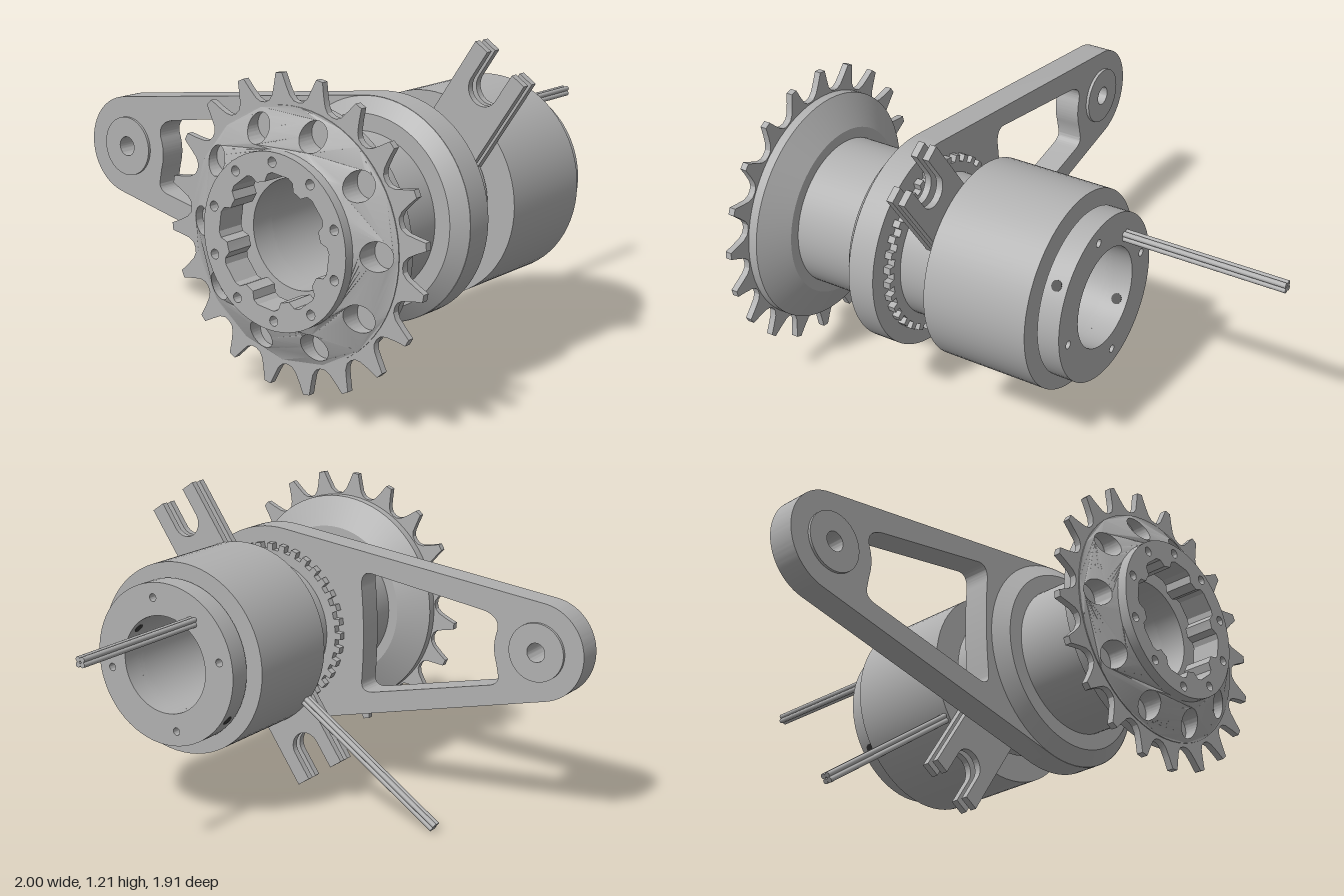
import * as THREE from 'three';
import { toCreasedNormals } from 'three/addons/utils/BufferGeometryUtils.js';

const metal = new THREE.MeshStandardMaterial({ color: 0xb0b0b0 });
metal.name = 'grey metal';
const dark = new THREE.MeshStandardMaterial({ color: 0x3a3a3a });
dark.name = 'dark hole';

const RAD = Math.PI / 180;
const BORE = 0.19;

export function createModel() {
  const root = new THREE.Group();
  root.name = 'driveAssembly';
  root.position.set(0, 0.633, 0.418);

  const add = (name, geo, mat = metal) => {
    const mesh = new THREE.Mesh(geo, mat);
    mesh.name = name;
    root.add(mesh);
    return mesh;
  };
  // Ring turned about the x axis from a closed loop of [x, radius]
  const turned = (name, loop) => {
    const pts = [...loop, loop[0]].map(([x, r]) => new THREE.Vector2(r, x));
    const geo = new THREE.LatheGeometry(pts, 72).rotateZ(-Math.PI / 2);
    return add(name, toCreasedNormals(geo, 0.4));
  };
  const ring = (name, x0, x1, r, inner = BORE) =>
    turned(name, [[x0, inner], [x0, r], [x1, r], [x1, inner]]);
  // Plate profile (right = back, up = up) extruded along x
  const plateGeo = (shape, x0, x1) =>
    new THREE.ExtrudeGeometry(shape, { depth: x1 - x0, bevelEnabled: false, curveSegments: 32 })
      .translate(0, 0, x0);
  const plate = (name, shape, x0, x1) =>
    add(name, toCreasedNormals(plateGeo(shape, x0, x1).rotateY(Math.PI / 2), 0.4));
  const polar = (r, deg) => new THREE.Vector2(r * Math.cos(deg * RAD), r * Math.sin(deg * RAD));
  const circle = (Type, r, x = 0, y = 0) => new Type().absarc(x, y, r, 0, Math.PI * 2, false);
  const drill = (shape, count, r, pitch, phase) => {
    for (let i = 0; i < count; i++) {
      const p = polar(pitch, phase + (i * 360) / count);
      shape.holes.push(circle(THREE.Path, r, p.x, p.y));
    }
    return shape;
  };
  // Repeats a few [radius, degrees] points of one tooth around a circle
  const toothed = (Type, count, tooth, phase = 0) => {
    const pts = [];
    for (let i = 0; i < count; i++)
      for (const [r, a] of tooth) pts.push(polar(r, phase + a + (i * 360) / count));
    return new Type(pts);
  };

  // Sprocket teeth
  const teeth = toothed(THREE.Shape, 20, [
    [0.448, -9], [0.452, -6.6], [0.468, -4.6], [0.502, -3], [0.54, -1.6],
    [0.54, 1.2], [0.502, 2.7], [0.468, 4.6], [0.452, 6.6],
  ], 84.6);
  teeth.holes.push(circle(THREE.Path, 0.28));
  plate('sprocketTeeth', drill(teeth, 10, 0.05, 0.37, 0), -0.9, -0.875);

  // Sprocket cone: a drilled disc whose outer face is pushed into a cone
  const disc = circle(THREE.Shape, 0.435);
  disc.holes.push(circle(THREE.Path, 0.298));
  const cone = plateGeo(drill(disc, 10, 0.05, 0.37, 0), 0, 1);
  const pos = cone.attributes.position;
  for (let i = 0; i < pos.count; i++) {
    const r = Math.hypot(pos.getX(i), pos.getY(i));
    pos.setZ(i, pos.getZ(i) > 0.5 ? -0.898 : -0.965 + ((r - 0.298) / 0.137) * 0.062);
  }
  add('sprocketCone', toCreasedNormals(cone.rotateY(Math.PI / 2), 0.4));

  // Hub end with lobed bore and bolt holes
  const hubEnd = circle(THREE.Shape, 0.3);
  hubEnd.holes.push(toothed(THREE.Path, 8, [[0.2, -14], [0.2, -9], [0.225, -5], [0.232, 0],
    [0.232, 17], [0.225, 22], [0.2, 26]]));
  plate('hubEnd', drill(hubEnd, 10, 0.017, 0.266, 18), -1, -0.89);

  // Sprocket back dish and shaft tubes
  turned('sprocketDish', [[-0.876, BORE], [-0.876, 0.443], [-0.84, 0.443],
    [-0.775, 0.325], [-0.775, BORE]]);
  ring('rearTube', -0.78, -0.48, 0.284);
  ring('middleTube', -0.49, -0.165, 0.273);

  // Tension arm: hull of the large ring and the small end
  const R = 0.4, r = 0.19, ex = 1.185, ey = 0.067;
  const phi = Math.atan2(ey, ex), alpha = Math.acos((R - r) / Math.hypot(ex, ey));
  const arm = new THREE.Shape();
  arm.absarc(ex, ey, r, phi - alpha, phi + alpha, false);
  arm.absarc(0, 0, R, phi + alpha, phi - alpha + Math.PI * 2, false);
  arm.closePath();
  const opening = new THREE.Path();
  opening.moveTo(0.46, 0.268);
  opening.lineTo(0.95, 0.195);
  opening.quadraticCurveTo(1.03, 0.18, 1.015, 0.12);
  opening.quadraticCurveTo(0.995, 0.06, 1.015, 0);
  opening.lineTo(1.025, -0.05);
  opening.quadraticCurveTo(1.03, -0.085, 0.985, -0.095);
  opening.lineTo(0.47, -0.212);
  opening.quadraticCurveTo(0.415, -0.22, 0.42, -0.17);
  opening.quadraticCurveTo(0.435, 0.03, 0.415, 0.215);
  opening.quadraticCurveTo(0.415, 0.272, 0.46, 0.268);
  arm.holes.push(opening, circle(THREE.Path, 0.27), circle(THREE.Path, 0.037, ex, ey));
  plate('tensionArm', arm, -0.455, -0.35);
  turned('armChamfer', [[-0.497, 0.27], [-0.497, 0.345], [-0.454, 0.4], [-0.454, 0.27]]);

  // Pivot boss standing proud on both faces of the arm
  const boss = circle(THREE.Shape, 0.113, ex, ey);
  boss.holes.push(circle(THREE.Path, 0.037, ex, ey));
  plate('armBoss', boss, -0.465, -0.338);

  // Splined ring beside the arm
  const spline = toothed(THREE.Shape, 36, [[0.312, -4.5], [0.312, -2.6], [0.337, -2.2],
    [0.337, 2.2], [0.312, 2.6]]);
  spline.holes.push(circle(THREE.Path, 0.265));
  plate('splineRing', spline, -0.35, -0.322);

  // Forked torque bars: two plates, each with a fork on opposite sides
  const fork = new THREE.Shape();
  const w = 0.12, s = 0.061, tip = 0.624;
  fork.moveTo(w, 0.24);
  fork.lineTo(w, tip);
  fork.lineTo(s, tip);
  fork.lineTo(s, 0.51);
  fork.absarc(0, 0.51, s, 0, Math.PI, true);
  fork.lineTo(-s, tip);
  fork.lineTo(-w, tip);
  fork.lineTo(-w, 0.24);
  fork.quadraticCurveTo(0, 0.298, w, 0.24);
  for (const x of [-0.225, -0.177])
    for (const turn of [34.3, 214.3])
      plate('torqueFork', fork, x, x + 0.026).rotation.x = turn * RAD;

  // Motor body, neck and drilled end flange
  ring('motorBody', -0.15, 0.267, 0.374);
  ring('motorNeck', 0.26, 0.29, 0.243);
  const flange = circle(THREE.Shape, 0.316);
  flange.holes.push(circle(THREE.Path, BORE));
  plate('endFlange', drill(flange, 4, 0.015, 0.258, 11), 0.283, 0.369);

  // Set screw holes on the flange rim and in its bore
  for (const angle of [144.4, -35.6])
    for (const [name, rad] of [['setScrewHole', 0.307], ['boreScrewHole', 0.198]]) {
      const p = polar(rad, angle);
      const hole = add(name, new THREE.CylinderGeometry(0.02, 0.02, 0.02, 20), dark);
      hole.position.set(0.326, p.y, -p.x);
      hole.rotation.x = (angle - 90) * -RAD;
      hole.rotation.x = Math.atan2(-p.x, p.y);
    }

  // Cables: four thin wires each, built along +y
  const cable = (name, length) => {
    const group = new THREE.Group();
    group.name = name;
    for (const a of [-1, 1])
      for (const b of [-1, 1]) {
        const wire = new THREE.Mesh(new THREE.CylinderGeometry(0.01, 0.01, length, 12), metal);
        wire.name = 'wire';
        wire.position.set(a * 0.0095, length / 2, b * 0.0095);
        group.add(wire);
      }
    root.add(group);
    return group;
  };
  const sideCable = cable('endCable', 0.64);
  sideCable.rotation.z = -Math.PI / 2;
  sideCable.position.set(0.36, 0.187, -0.135);
  const lowCable = cable('lowerCable', 0.74);
  const start = polar(0.345, -34.5);
  lowCable.rotation.x = -124.5 * RAD;
  lowCable.position.set(-0.121, start.y, -start.x);

  return root;
}
